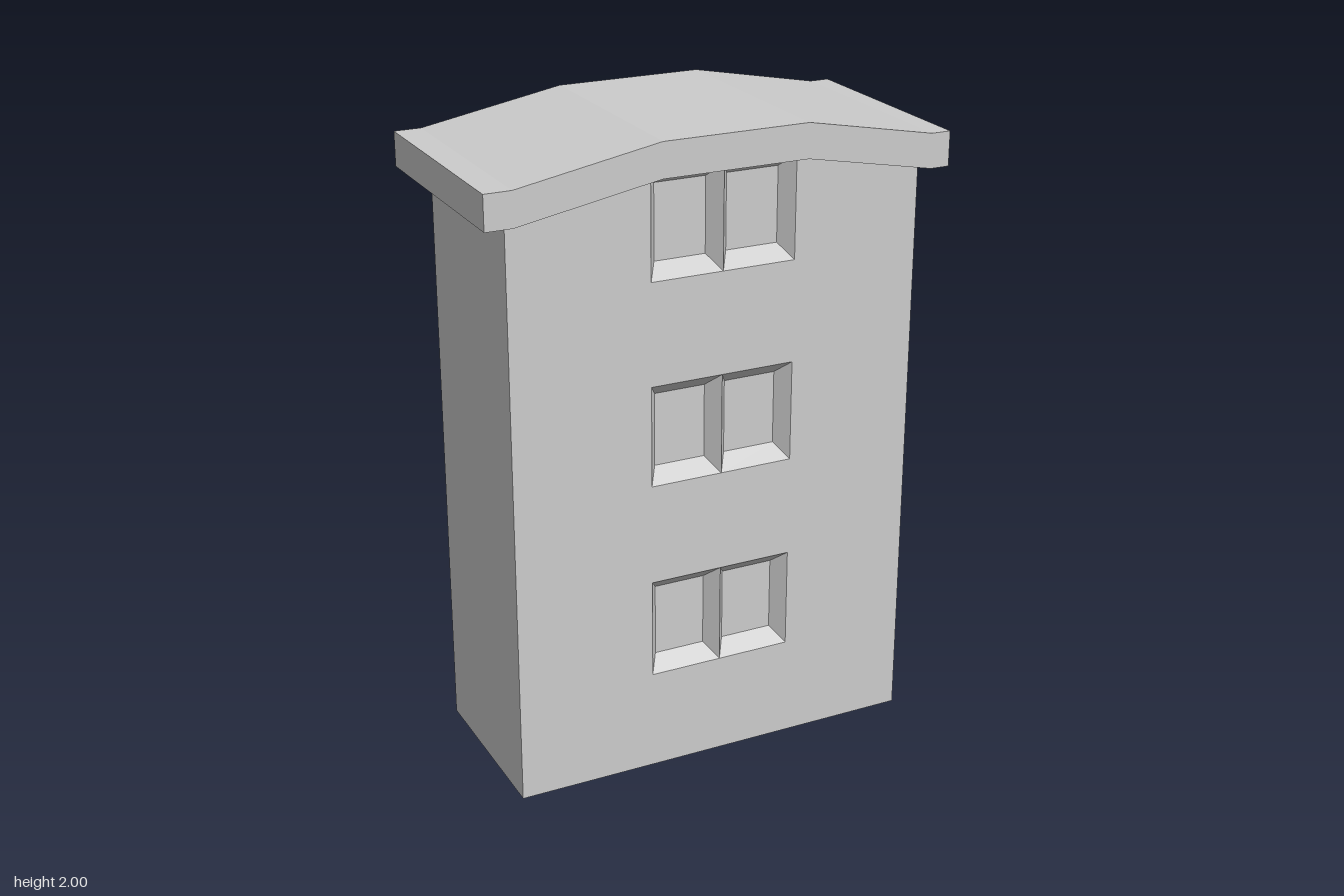
import * as THREE from 'three';

const LEFT = -0.64, RIGHT = 0.662, HALF_DEPTH = 0.285, ROOF_HALF = 0.353;
const PANES = [[-0.205, 0.023], [0.023, 0.255]];
const ROWS = [[0.318, 0.632], [0.947, 1.261], [1.578, 1.894]];
const RECESS = 0.05, INSET_X = 0.033, INSET_Y = 0.043;
const ROOF_LINE = [[-0.723, 1.816], [LEFT, 1.816], [-0.2, 1.895], [0.255, 1.895], [RIGHT, 1.816], [0.723, 1.816]];
const ROOF_THICKNESS = 0.105;

const material = new THREE.MeshStandardMaterial({ color: 0xcccccc, flatShading: true });

function mesh(geometry, name) {
  const m = new THREE.Mesh(geometry, material);
  m.name = name;
  return m;
}

// Flat four-sided faces, each given as corners in anticlockwise order
function quads(list) {
  const positions = list.flatMap(([a, b, c, d]) => [a, b, c, a, c, d].flat());
  const g = new THREE.BufferGeometry();
  g.setAttribute('position', new THREE.Float32BufferAttribute(positions, 3));
  g.computeVertexNormals();
  return g;
}

const rectangle = (x0, x1, y0, y1, z) => [[x0, y0, z], [x1, y0, z], [x1, y1, z], [x0, y1, z]];

// Sunken pane with four sloping reveals
function pane(x0, x1, y0, y1) {
  const outer = rectangle(x0, x1, y0, y1, HALF_DEPTH);
  const inner = rectangle(x0 + INSET_X, x1 - INSET_X, y0 + INSET_Y, y1 - INSET_Y, HALF_DEPTH - RECESS);
  const faces = [inner];
  for (let i = 0; i < 4; i++) {
    const j = (i + 1) % 4;
    faces.push([outer[i], outer[j], inner[j], inner[i]]);
  }
  return mesh(quads(faces), 'windowPane');
}

// One long wall with its windows; side -1 is the back, mirrored then turned round
function facade(side) {
  const group = new THREE.Group();
  group.name = side > 0 ? 'frontFacade' : 'backFacade';
  const points = (list) => list.map(([x, y]) => new THREE.Vector2(x * side, y));
  // The wall top runs a little way up inside the roof
  const top = ROOF_LINE.slice(1, 5).reverse().map(([x, y]) => [x, y + 0.03]);
  const shape = new THREE.Shape(points([[LEFT, 0], [RIGHT, 0], ...top]));
  const x0 = PANES[0][0], x1 = PANES[1][1];
  for (const [y0, y1] of ROWS) {
    shape.holes.push(new THREE.Path(points([[x0, y0], [x0, y1], [x1, y1], [x1, y0]])));
    for (const [a, b] of PANES) {
      group.add(pane(Math.min(a * side, b * side), Math.max(a * side, b * side), y0, y1));
    }
  }
  const wall = mesh(new THREE.ShapeGeometry(shape), 'wall');
  wall.position.z = HALF_DEPTH;
  group.add(wall);
  if (side < 0) group.rotation.y = Math.PI;
  return group;
}

export function createModel() {
  const model = new THREE.Group();
  model.name = 'building';
  model.add(facade(1), facade(-1));

  // Plain end walls and underside
  const h = 1.84, d = HALF_DEPTH;
  model.add(mesh(quads([
    [[RIGHT, 0, d], [RIGHT, 0, -d], [RIGHT, h, -d], [RIGHT, h, d]],
    [[LEFT, 0, -d], [LEFT, 0, d], [LEFT, h, d], [LEFT, h, -d]],
  ]), 'endWalls'));
  model.add(mesh(quads([
    [[LEFT, 0, -d], [RIGHT, 0, -d], [RIGHT, 0, d], [LEFT, 0, d]],
  ]), 'underside'));

  // Overhanging roof slab of even thickness
  const upper = ROOF_LINE.map(([x, y]) => [x, y + ROOF_THICKNESS]).reverse();
  const profile = new THREE.Shape([...ROOF_LINE, ...upper].map(([x, y]) => new THREE.Vector2(x, y)));
  const roof = new THREE.ExtrudeGeometry(profile, { depth: 2 * ROOF_HALF, bevelEnabled: false });
  roof.translate(0, 0, -ROOF_HALF);
  model.add(mesh(roof, 'roof'));

  return model;
}
